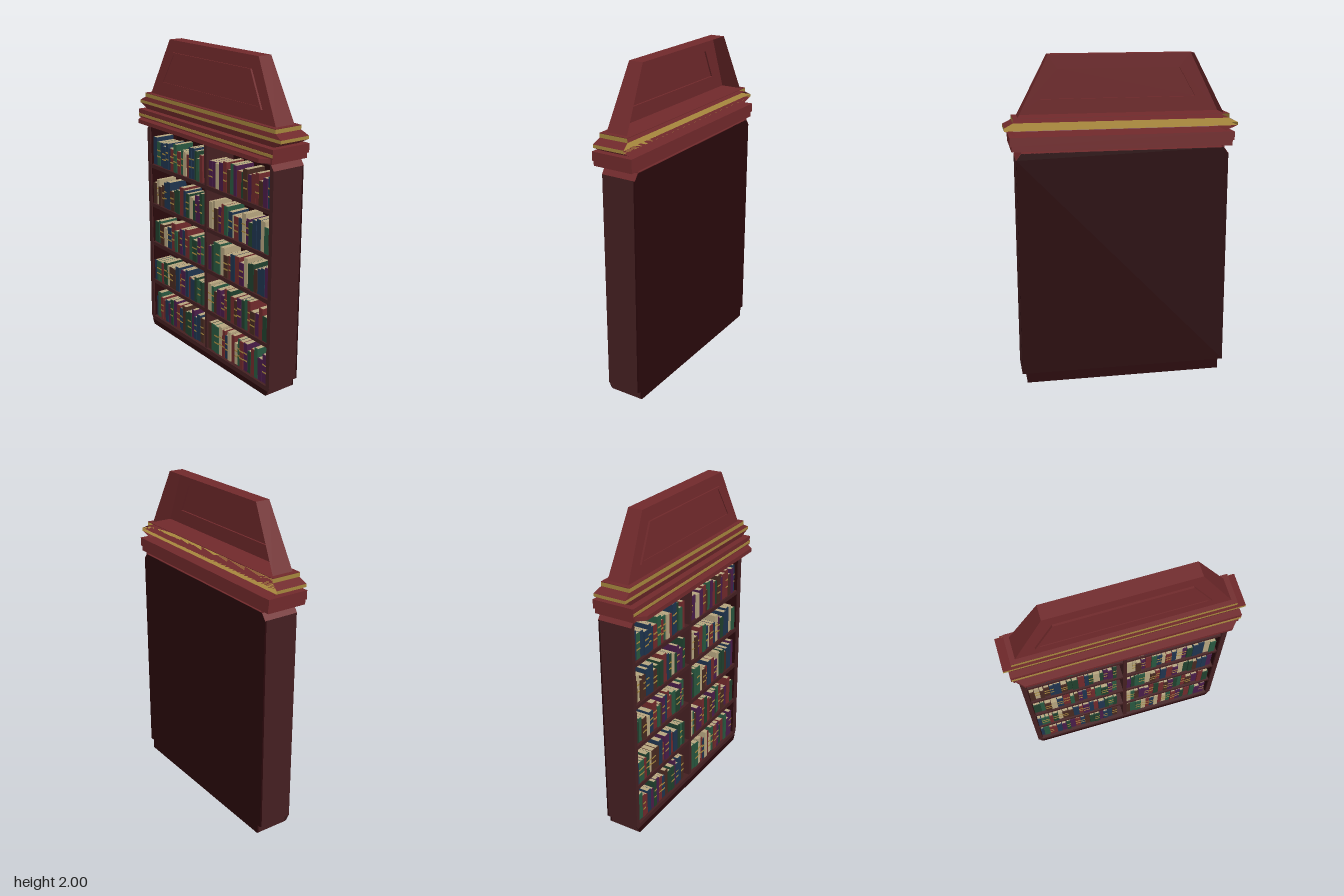
import * as THREE from 'three';
import { mergeGeometries } from 'three/addons/utils/BufferGeometryUtils.js';

const mat = (name, color) => Object.assign(new THREE.MeshStandardMaterial({ color }), { name });
const M = {
  r: mat('red wood', 0x70292b),
  f: mat('dark frame wood', 0x441f21),
  k: mat('deep maroon', 0x29080b),
  n: mat('navy', 0x1e344e),
  g: mat('green', 0x28573f),
  d: mat('dark green', 0x1f3f2d),
  p: mat('purple', 0x491c48),
  b: mat('brown', 0x472920),
  c: mat('cream', 0xb5a47e),
  o: mat('gold', 0xa5863c),
};
// the cornice and hood are open at the back
M.r.side = M.o.side = THREE.DoubleSide;

function add(parent, name, geometry, material) {
  const mesh = new THREE.Mesh(geometry, material);
  mesh.name = name;
  parent.add(mesh);
  return mesh;
}

// box given by its limits
function block(x0, x1, y0, y1, z0, z1) {
  return new THREE.BoxGeometry(x1 - x0, y1 - y0, z1 - z0)
    .translate((x0 + x1) / 2, (y0 + y1) / 2, (z0 + z1) / 2);
}

// tapered block without a back, between two levels [y, half width, back z, front z]
function openFrustum(lower, upper, hasFront = true) {
  const g = new THREE.BoxGeometry(2, 2, 2), p = g.attributes.position;
  for (let i = 0; i < p.count; i++) {
    const [y, x, back, front] = p.getY(i) > 0 ? upper : lower;
    p.setXYZ(i, p.getX(i) * x, y, p.getZ(i) > 0 ? front : back);
  }
  g.setIndex([...g.index.array].slice(0, hasFront ? 30 : 24));
  g.clearGroups();
  g.computeVertexNormals();
  return g;
}

const points = (pts) => pts.map(([x, y]) => new THREE.Vector2(x, y));
const shape = (pts) => new THREE.Shape(points(pts));
const hole = (pts) => new THREE.Path(points(pts).reverse());
const extrude = (s, depth) => new THREE.ExtrudeGeometry(s, { depth, bevelEnabled: false });
const trapezoid = (xb, xt, yb, yt) => [[-xb, yb], [xb, yb], [xt, yt], [-xt, yt]];

// one row per shelf, bottom to top: colour letter and height step, left and right bay
const ROWS = [
  ['n5 g8 r6 r5 n6 p5 d8 p8 r7 n6 b8 d6 d7 p9 n6 n8 b7', 'b8 g8 g8 c9 r8 n6 c9 r8 c5 g8 r8 p8 d5 r7 g9 p5 p8'],
  ['n5 g5 g5 r5 d6 c5 b5 b5 n7 r4 p7 n8 r5 n5 d7 g6 d6', 'c8 g7 b5 p7 p5 r9 d9 r7 b6 p8 d8 g9 r9 b5 p5 r9 d6'],
  ['d5 g6 b5 c4 n5 r8 g5 b5 p7 n7 r8 r5 g6 d5 p7 g8', 'p6 d7 g9 g9 c8 b5 r5 n7 r7 p5 c8 d6 d7 b5 n6 n7 p8'],
  ['b5 c7 b4 b5 n7 n8 b4 d5 d6 r8 n7 d6 c5 d4 p7 p5 d9', 'c7 c8 b5 p6 r8 g8 n6 c5 r5 n5 c8 p6 d5 n7 n8 c8 g6'],
  ['n8 g6 n6 n5 n7 n5 r5 g8 r5 g6 c6 r5 n9 n9 d8 g5 r7', 'p6 p6 c6 p7 r8 b5 g8 p8 r6 d6 b8 p6 r7 r8 b5 p7 n8'],
];
const FLOORS = [0.065, 0.34, 0.62, 0.895, 1.167];

function makeBooks() {
  const books = new THREE.Group();
  books.name = 'books';
  let seed = 7;
  const rnd = () => (seed = (seed * 16807) % 2147483647) / 2147483647;
  ROWS.forEach((row, level) => row.forEach((text, bay) => {
    const parts = {};
    const put = (key, g) => (parts[key] ??= []).push(g);
    const list = text.split(' ');
    const widths = list.map(() => 0.7 + 0.6 * rnd());
    const total = widths.reduce((a, b) => a + b, 0);
    const span = bay ? 0.58 : 0.555, floor = FLOORS[level];
    let x = bay ? 0.013 : -0.606;
    list.forEach((code, i) => {
      const w = (widths[i] / total) * span, x1 = x + w - 0.001;
      const top = floor + 0.077 + 0.0135 * Number(code[1]);
      const front = 0.045 + 0.012 * rnd();
      put(code[0], block(x, x1, floor, top, front - 0.13, front));
      // page block showing on top
      put('c', block(x + 0.003, x1 - 0.003, top - 0.002, top + 0.001, front - 0.128, front - 0.006));
      // gilt bands on some spines
      if (rnd() < 0.45) for (const t of [0.36, 0.62]) {
        const y = floor + t * (top - floor);
        put('o', block(x, x1, y, y + 0.008, front - 0.001, front + 0.002));
      }
      x += w;
    });
    for (const key in parts) add(books, `books ${M[key].name}`, mergeGeometries(parts[key]), M[key]);
  }));
  return books;
}

function makeCase() {
  const body = new THREE.Group();
  body.name = 'case';
  const outline = [[-0.64, 0.06], [0.64, 0.06], [0.64, 1.4], [0.61, 1.44], [-0.61, 1.44], [-0.64, 1.4]];
  const frame = shape(outline);
  frame.holes.push(hole(trapezoid(0.61, 0.61, 0.065, 1.43)));
  add(body, 'frame', extrude(frame, 0.21).translate(0, 0, -0.14), M.f);
  add(body, 'backPanel', extrude(shape(outline), 0.01).translate(0, 0, -0.15), M.k);
  add(body, 'divider', block(-0.012, 0.012, 0.065, 1.43, -0.14, 0.065), M.f);
  for (const y of FLOORS.slice(1)) add(body, 'shelf', block(-0.61, 0.61, y - 0.025, y, -0.14, 0.064), M.f);
  for (const side of [-1, 1]) {
    // interior lining
    const x = side * 0.6085;
    add(body, 'lining', block(x - 0.0015, x + 0.0015, 0.065, 1.43, -0.14, 0.06), M.k);
    // red bevel at the upper corner
    const bevel = add(body, 'topBevel', new THREE.BoxGeometry(0.05, 0.003, 0.22), M.r);
    bevel.position.set(side * 0.6255, 1.4205, -0.04);
    bevel.rotation.z = -side * Math.atan2(0.04, 0.03);
    // spacer carrying the cornice
    add(body, 'spacer', block(side * 0.61 - 0.004, side * 0.61 + 0.004, 1.44, 1.452, -0.15, 0.07), M.r);
  }
  // plinth with a splayed front board
  add(body, 'plinth', block(-0.61, 0.61, 0, 0.06, -0.14, 0.062), M.f);
  add(body, 'plinthBack', block(-0.61, 0.61, 0, 0.06, -0.15, -0.14), M.k);
  add(body, 'plinthBoard', extrude(shape(trapezoid(0.61, 0.64, 0, 0.06)), 0.006).translate(0, 0, 0.062), M.f);
  add(body, 'plinthFace', extrude(shape(trapezoid(0.61, 0.627, 0, 0.034)), 0.002).translate(0, 0, 0.068), M.k);
  add(body, 'topBoard', block(-0.61, 0.61, 1.438, 1.442, -0.15, 0.07), M.r);
  return body;
}

function makeCornice() {
  const c = new THREE.Group();
  c.name = 'cornice';
  // ledge with clipped front corners
  const plan = [[-0.61, -0.155], [0.61, -0.155], [0.655, -0.105], [-0.655, -0.105]];
  add(c, 'ledge', extrude(shape(plan), 0.025).rotateX(-Math.PI / 2).translate(0, 1.457, 0), M.r);
  add(c, 'lowerBand', block(-0.665, 0.665, 1.45, 1.482, -0.15, 0.106), M.r);
  add(c, 'middleBand', block(-0.675, 0.675, 1.482, 1.535, -0.155, 0.108), M.r);
  add(c, 'lowerGilt', block(-0.672, 0.672, 1.49, 1.507, 0.107, 0.111), M.o);
  // stacked mouldings
  add(c, 'cove', openFrustum([1.535, 0.635, -0.108, 0.068], [1.568, 0.7, -0.124, 0.077]), M.r);
  add(c, 'middleGilt', openFrustum([1.568, 0.702, -0.125, 0.078], [1.587, 0.702, -0.125, 0.078]), M.o);
  add(c, 'slope', openFrustum([1.587, 0.702, -0.125, 0.078], [1.613, 0.65, -0.113, 0.07]), M.r);
  add(c, 'upperGilt', openFrustum([1.613, 0.65, -0.113, 0.072], [1.637, 0.65, -0.113, 0.072]), M.o);
  add(c, 'cap', block(-0.65, 0.65, 1.637, 1.64, -0.113, 0.072), M.r);
  return c;
}

function makeHood() {
  const hood = new THREE.Group();
  hood.name = 'hood';
  // hollow shell: sides, top and floor
  add(hood, 'hoodShell', openFrustum([1.64, 0.62, -0.09, 0.045], [2, 0.435, -0.07, 0.02], false), M.r);
  // sloping front with a raised frame around a sunk field
  const front = new THREE.Group();
  front.name = 'hoodFront';
  const opening = trapezoid(0.475, 0.37, -0.09, 0.09);
  const board = shape(trapezoid(0.62, 0.435, -0.18, 0.18)), rim = shape(trapezoid(0.5, 0.385, -0.105, 0.105));
  for (const s of [board, rim]) s.holes.push(hole(opening));
  add(front, 'frontBoard', extrude(board, 0.006).translate(0, 0, -0.006), M.r);
  add(front, 'panelRim', extrude(rim, 0.012), M.r);
  add(front, 'panelField', extrude(shape(opening), 0.003).translate(0, 0, 0.004), M.r);
  front.position.set(0, 1.82, 0.0325);
  front.rotation.x = -Math.atan2(0.025, 0.36);
  hood.add(front);
  return hood;
}

export function createModel() {
  const model = new THREE.Group();
  model.name = 'bookcase';
  model.add(makeCase(), makeBooks(), makeCornice(), makeHood());
  return model;
}
